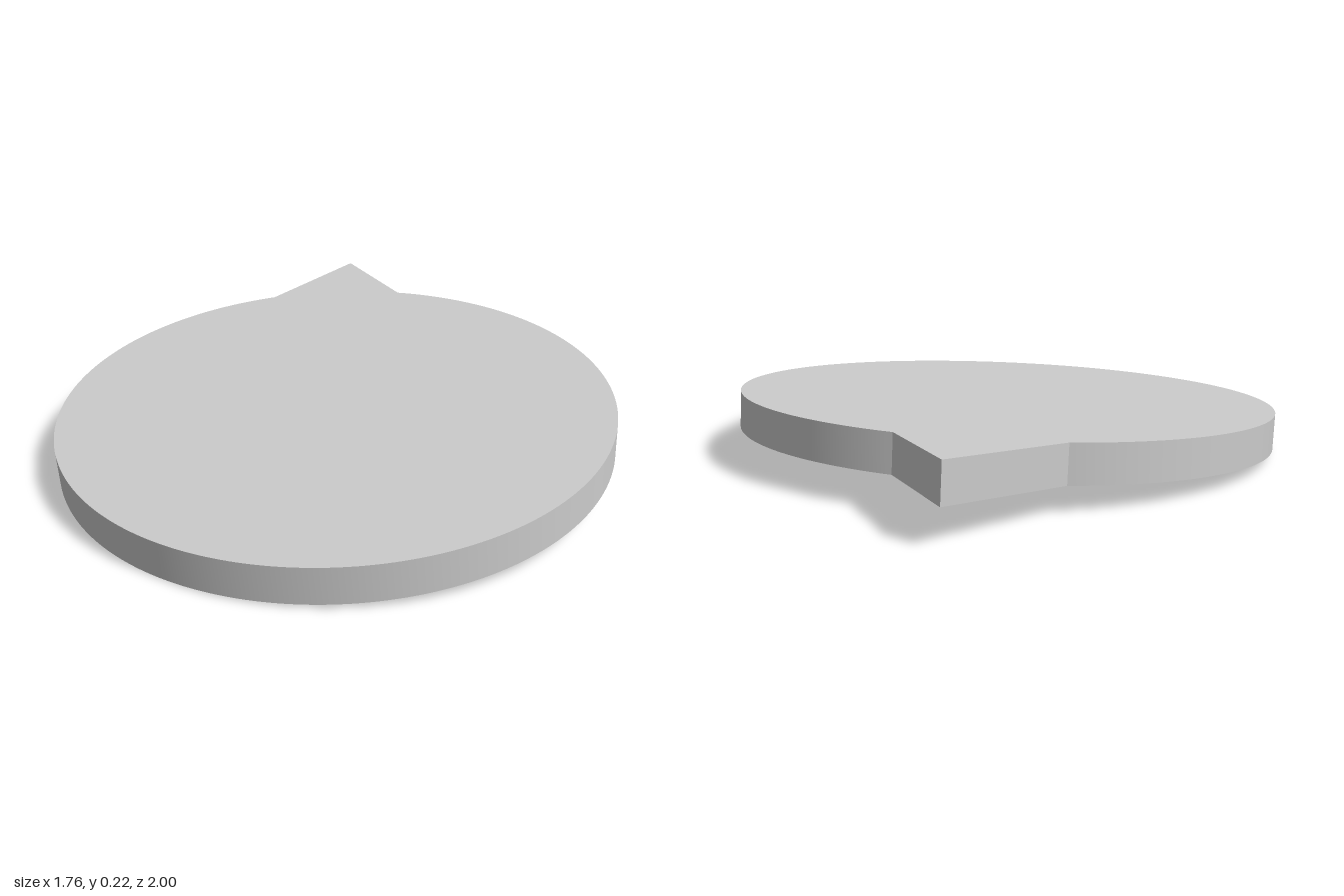
import * as THREE from 'three';
import { toCreasedNormals } from 'three/addons/utils/BufferGeometryUtils.js';

const RADIUS = 0.88;
const THICKNESS = 0.117;

export function createModel() {
  const model = new THREE.Group();
  model.name = 'speechBubble';

  // Round outline with a pointed tail at the back right
  const start = Math.atan2(0.71, -0.522);
  const end = Math.atan2(0.877, -0.08);
  const outline = new THREE.Shape();
  outline.absarc(0, 0, RADIUS, start, end + Math.PI * 2, false);
  outline.lineTo(-0.36, 1.113);
  outline.closePath();

  // Flat slab with a smooth rim and sharp edges
  const slab = new THREE.ExtrudeGeometry(outline, {
    depth: THICKNESS, bevelEnabled: false, curveSegments: 128,
  });
  slab.translate(0, 0, -THICKNESS / 2);
  slab.rotateX(-Math.PI / 2);

  const bubble = new THREE.Mesh(
    toCreasedNormals(slab, Math.PI / 8),
    new THREE.MeshStandardMaterial({ color: 0xcccccc })
  );
  bubble.name = 'bubblePlate';

  // Slight lean: rises towards the back and the left
  bubble.quaternion.setFromUnitVectors(
    new THREE.Vector3(0, 1, 0),
    new THREE.Vector3(-0.02, 1, 0.054).normalize()
  );
  bubble.position.set(0, 0.109, 0.116);
  model.add(bubble);
  return model;
}
